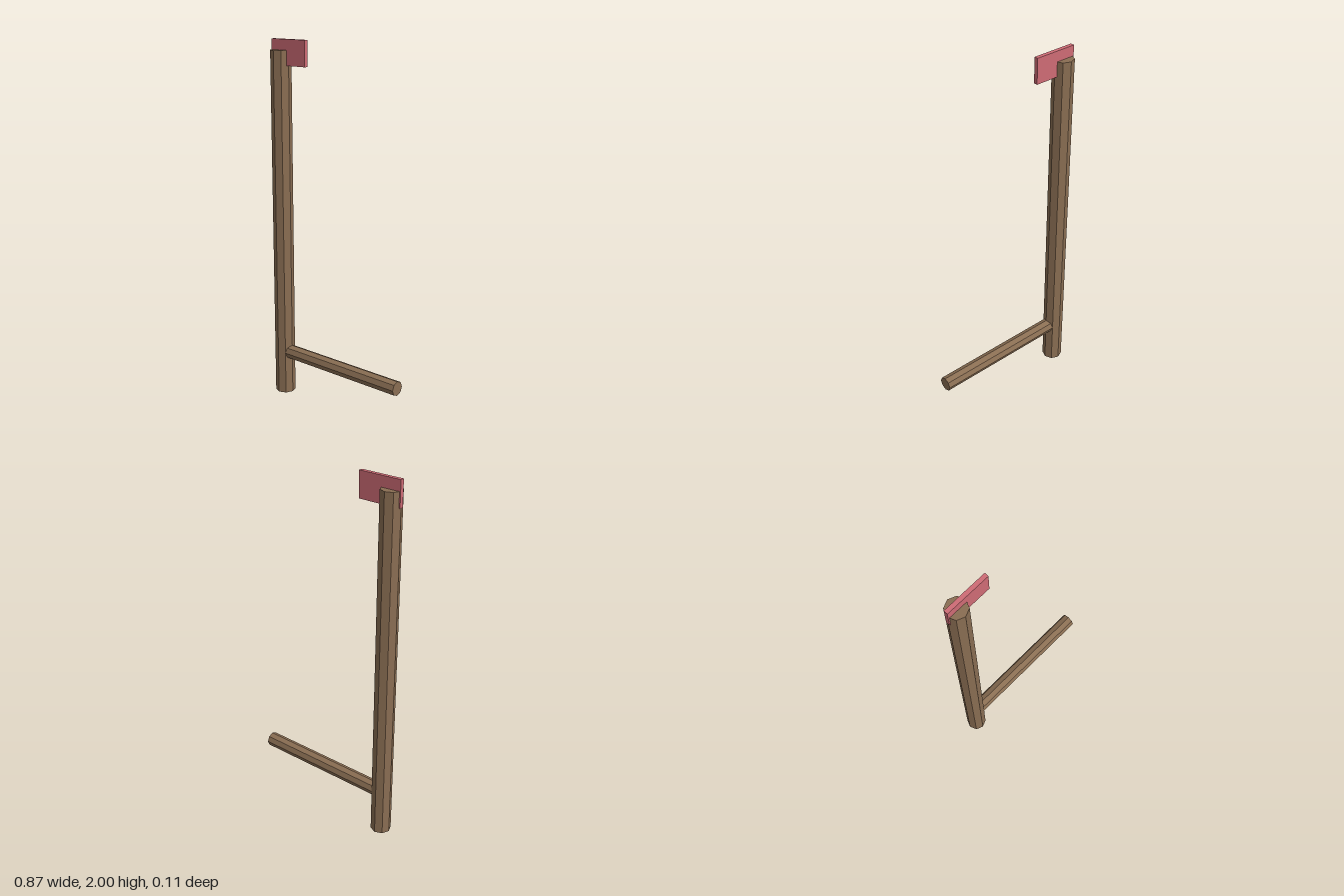
import * as THREE from 'three';

export function createModel() {
  const model = new THREE.Group();
  const wood = new THREE.MeshStandardMaterial({ color: 0x8a6e53, flatShading: true });
  wood.name = 'brown wood';
  const cloth = new THREE.MeshStandardMaterial({ color: 0xce6b75, flatShading: true });
  cloth.name = 'faded red';

  const add = (name, geometry, material, x, y) => {
    const mesh = new THREE.Mesh(geometry, material);
    mesh.name = name;
    mesh.position.set(x, y, 0);
    model.add(mesh);
  };

  const postX = -0.376, postHeight = 1.943;
  const armEnd = 0.434, armLength = armEnd - postX;

  // Upright eight-sided post
  add('post', new THREE.CylinderGeometry(0.056, 0.056, postHeight, 8), wood, postX, postHeight / 2);

  // Horizontal arm, starting inside the post
  const arm = new THREE.CylinderGeometry(0.04, 0.04, armLength, 8).rotateZ(Math.PI / 2);
  add('arm', arm, wood, postX + armLength / 2, 0.245);

  // Small flag set through the top of the post
  add('flag', new THREE.BoxGeometry(0.24, 0.138, 0.022), cloth, -0.314, 1.931);

  return model;
}
